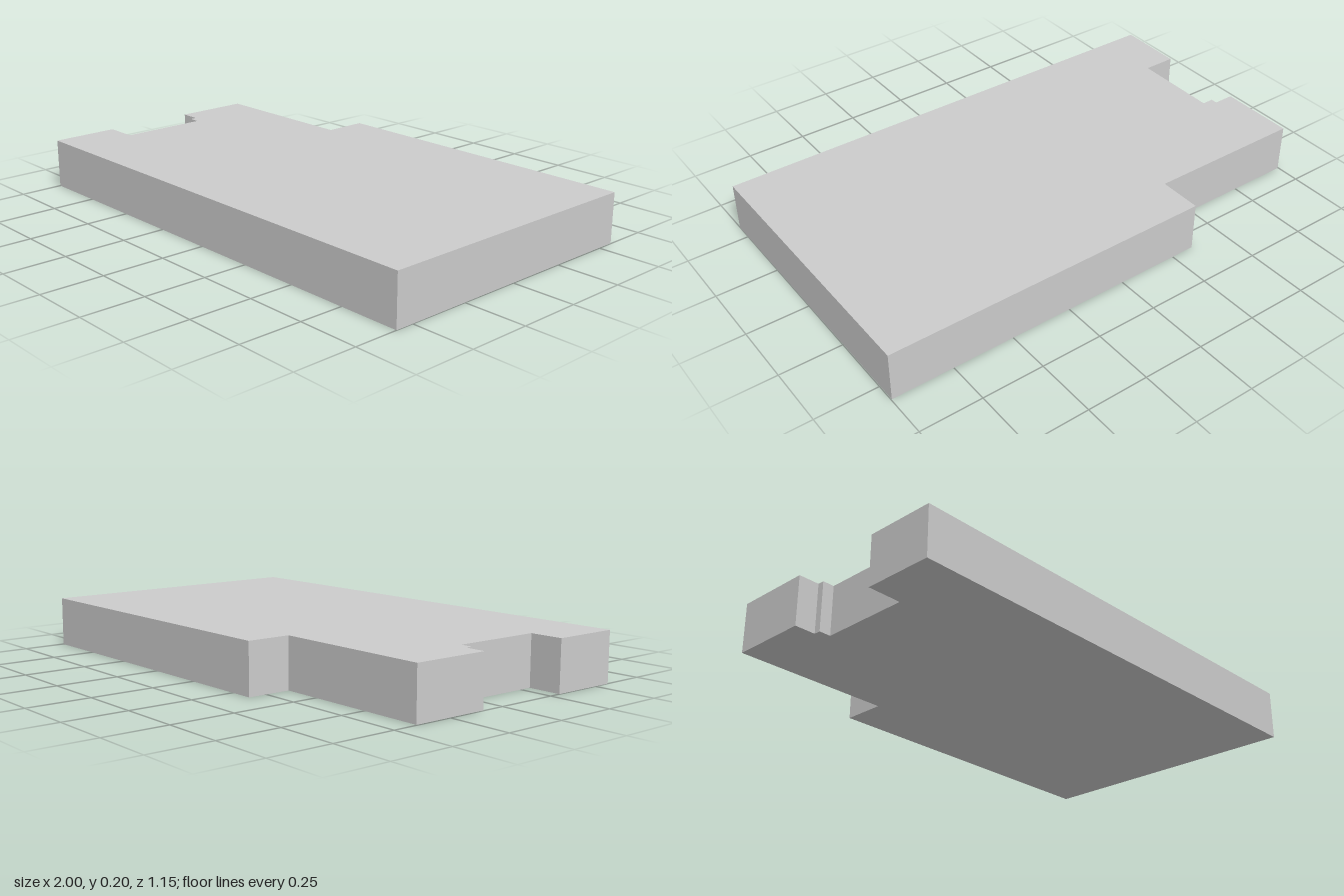
import * as THREE from 'three';

export function createModel() {
  const model = new THREE.Group();
  model.name = 'notchedSlab';

  // Plan outline as [x, z]
  const outline = [
    [-1, 0.573], [1, 0.573], [0.997, -0.575],
    [-0.347, -0.575], [-0.347, -0.4], [-0.996, -0.4],   // back corner step
    [-0.996, -0.09], [-0.912, -0.09], [-0.912, -0.063], // side notch with small ledge
    [-0.865, -0.063], [-0.865, 0.298], [-1, 0.298],
  ];
  const shape = new THREE.Shape(outline.map(([x, z]) => new THREE.Vector2(x, -z)));

  // Extrude upwards to the slab thickness
  const geometry = new THREE.ExtrudeGeometry(shape, { depth: 0.2, bevelEnabled: false });
  geometry.rotateX(-Math.PI / 2);

  const slab = new THREE.Mesh(
    geometry,
    new THREE.MeshStandardMaterial({ color: 0xcccccc, flatShading: true }),
  );
  slab.name = 'slab';
  model.add(slab);
  return model;
}
